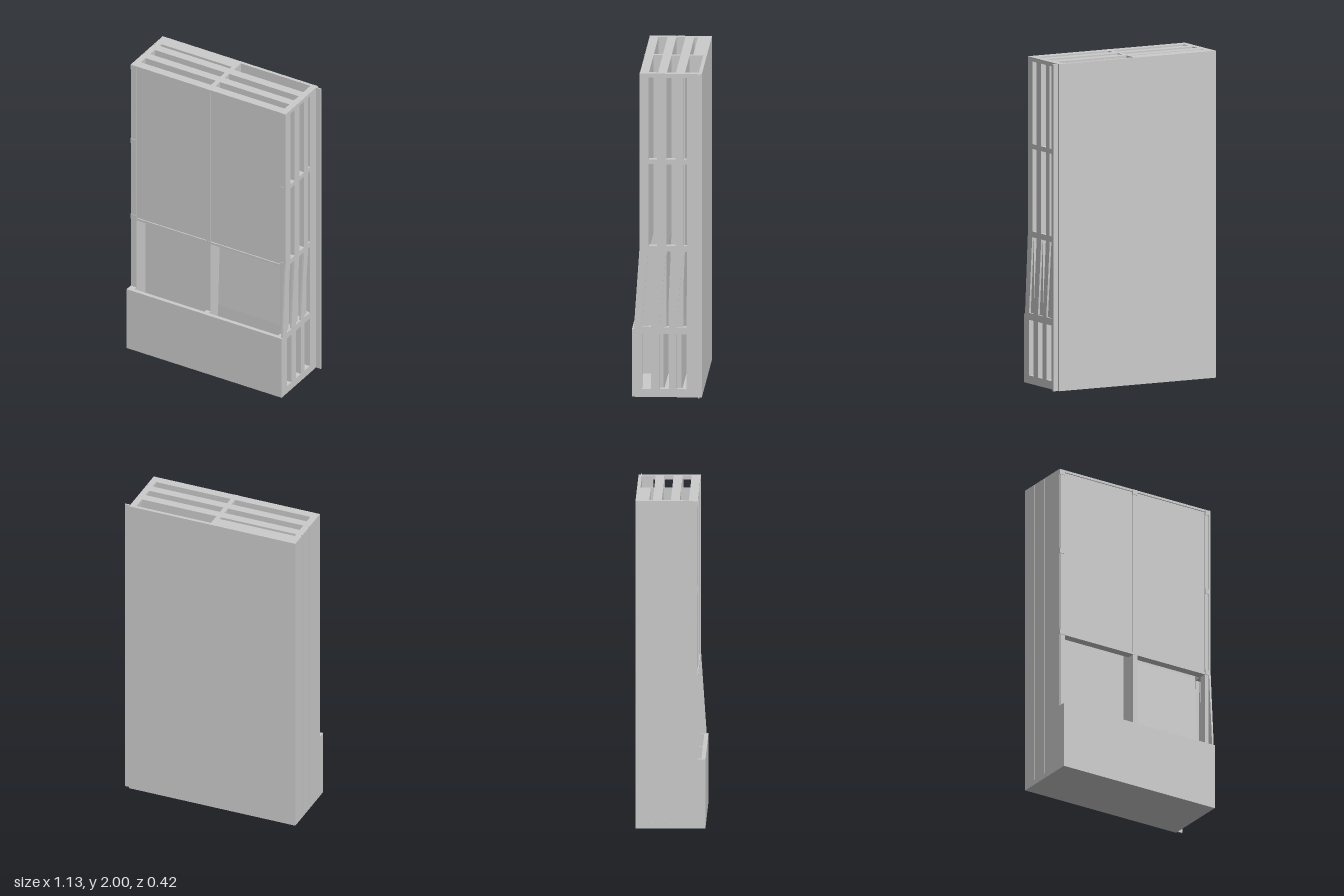
import * as THREE from 'three';

const H = 2, BEND = 0.915, STEP = 0.42;
const X0 = -0.565, X1 = 0.53;

export function createModel() {
  const root = new THREE.Group();
  const mat = new THREE.MeshStandardMaterial({ color: 0xcccccc, flatShading: true });

  const add = (name, geo) => {
    const m = new THREE.Mesh(geo, mat);
    m.name = name;
    root.add(m);
  };
  // Box from its limits on each axis
  const box = (name, xa, xb, ya, yb, za, zb) =>
    add(name, new THREE.BoxGeometry(xb - xa, yb - ya, zb - za)
      .translate((xa + xb) / 2, (ya + yb) / 2, (za + zb) / 2));
  // Side profile of [z, y] points, extruded from xa to xb
  const profile = (name, pts, xa, xb, holes = []) => {
    const toV = ([z, y]) => new THREE.Vector2(z, y);
    const shape = new THREE.Shape(pts.map(toV));
    holes.forEach(h => shape.holes.push(new THREE.Path(h.map(toV))));
    const geo = new THREE.ExtrudeGeometry(shape, { depth: xb - xa, bevelEnabled: false });
    add(name, geo.rotateY(-Math.PI / 2).translate(xb, 0, 0));
  };
  // Four-cornered window: z limits at the bottom, then at the top
  const win = (ya, yb, [a0, b0], [a1, b1]) => [[a0, ya], [b0, ya], [b1, yb], [a1, yb]];

  // Upright outline with a forward step for the bin
  const upright = [
    [-0.2, 0], [0.208, 0], [0.208, STEP], [0.162, STEP], [0.162, H], [-0.2, H]];
  // Outer plate outline leans between the bin and the cover
  const leaning = [
    [-0.2, 0], [0.208, 0], [0.208, STEP], [0.199, STEP], [0.165, BEND], [0.165, H], [-0.2, H]];

  // Slot limits in z, above the bend and down in the bin
  const slots = [
    { top: [0.058, 0.112], low: [0.095, 0.15] },
    { top: [-0.053, 0.003], low: [-0.015, 0.042] },
    { top: [-0.124, -0.1], low: [-0.12, -0.058] },
  ];
  const straight = slots.flatMap(({ top, low }) => [
    win(0.05, 0.39, low, low),
    win(0.935, 1.44, top, top),
    win(1.47, 1.975, top, top)]);
  const slanted = slots.map(({ top, low }) => win(0.432, 0.9, low, top));
  const inner = slots.map(({ top }) => win(0.432, 0.9, top, top));
  profile('openSideFrame', upright, 0.49, 0.518, [...straight, ...inner]);
  profile('leaningSidePlate', leaning, 0.518, X1, [...straight, ...slanted]);
  profile('centreDivider', upright, -0.03, 0);

  // Closed side: slabs with narrow joints, backed by a post
  const joints = [-0.2, -0.109, 0, 0.164];
  for (let i = 0; i < 3; i++)
    box('closedSideSlab', X0, -0.553, 0, H, joints[i] + 0.003, joints[i + 1] - 0.003);
  profile('closedSidePost', upright, -0.556, -0.525);

  // Layers between the slots: upright on one half, leaning on the other
  for (const [a, b] of [[0, 0.054], [-0.109, -0.054]]) {
    box('uprightLayer', -0.525, -0.03, 0, H, a, b);
    const d = 0.02;
    profile('leaningLayer', [
      [a + d, 0], [b + d, 0], [b + d, STEP], [b, BEND],
      [b, H], [a, H], [a, BEND], [a + d, STEP]], 0, 0.49);
  }

  // Front cover with its edge rails, and the bin front
  box('frontCover', -0.553, X1, BEND, 1.99, 0.109, 0.156);
  box('topRail', X0, X1, 1.985, H, 0.109, 0.163);
  box('coverRail', X0, X1, 0.9, BEND, 0.109, 0.163);
  box('binFront', X0, X1, 0, STEP, 0.185, 0.21);
  box('binEnd', X0, -0.553, 0, STEP, 0.161, 0.21);

  // Small lugs around the cover
  for (const y of [1.965, 1.44, 0.9])
    for (const x of [X0, X1 - 0.035]) box('coverLug', x, x + 0.035, y, y + 0.033, 0.13, 0.165);
  box('coverLug', -0.035, 0, 1.967, H, 0.13, 0.165);

  // Back: filler layer, flange sheet and outer panel
  box('backFiller', -0.525, -0.03, 0, H, -0.2, -0.13);
  box('backFlange', X0, 0.563, 0, H, -0.2, -0.192);
  box('backPanel', X0, X1, 0, H, -0.213, -0.2);

  // Base, and ramps that fill the foot of the slots on the closed side
  box('base', X0, X1, 0, 0.03, -0.2, 0.2);
  for (const [a, b] of [[0.054, 0.185], [-0.054, 0], [-0.13, -0.109]]) {
    const ramp = new THREE.Shape([
      new THREE.Vector2(-0.525, 0.03), new THREE.Vector2(-0.03, 0.03), new THREE.Vector2(-0.525, 0.3)]);
    add('slotRamp', new THREE.ExtrudeGeometry(ramp, { depth: b - a, bevelEnabled: false })
      .translate(0, 0, a));
  }
  return root;
}
